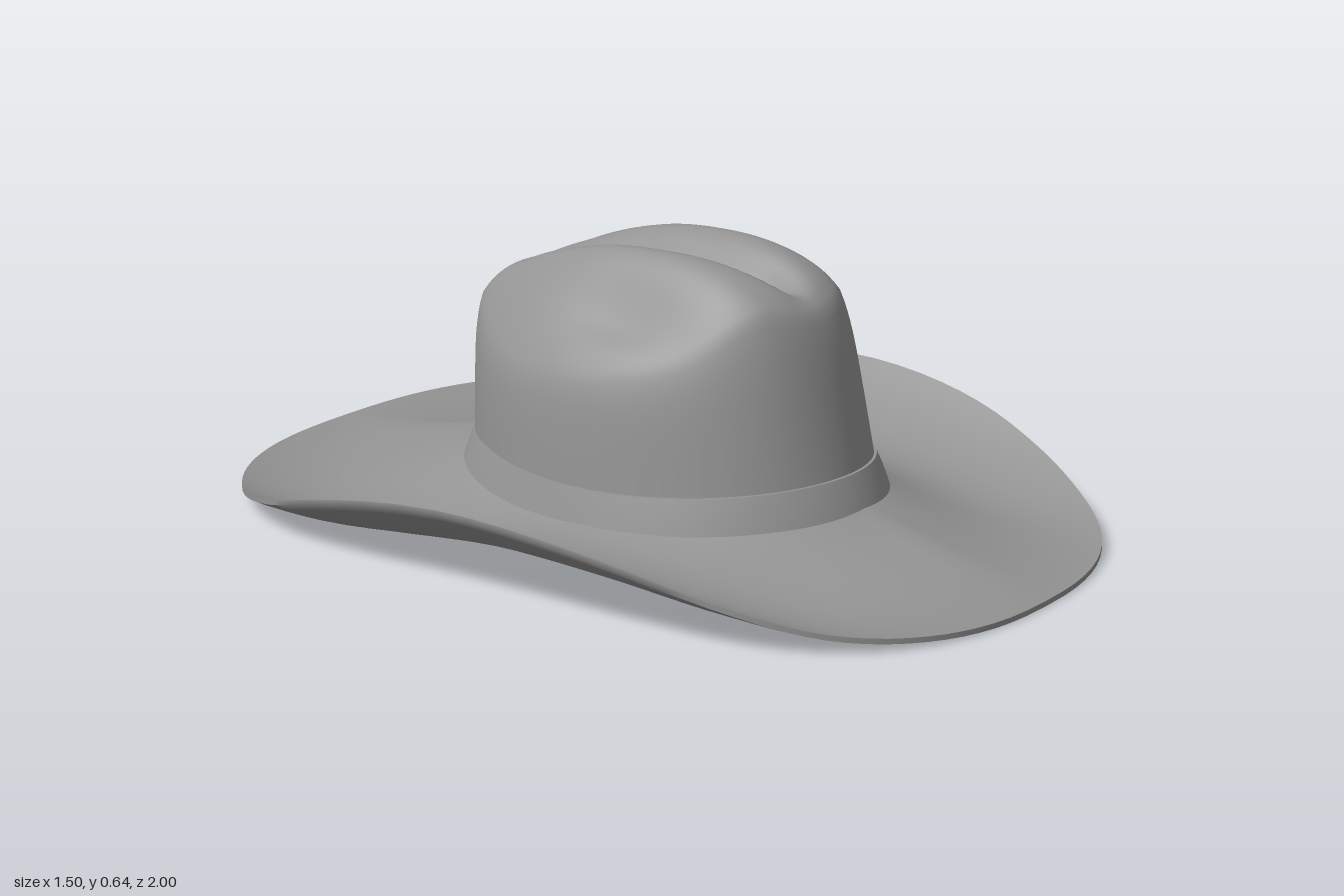
import * as THREE from 'three';
import { toCreasedNormals } from 'three/addons/utils/BufferGeometryUtils.js';

const COLS = 112;
const COLOR = 0x939393;
const { smoothstep, lerp } = THREE.MathUtils;
const gauss = (d, w) => Math.exp(-((d / w) ** 2));
const spow = (v, p) => Math.sign(v) * Math.abs(v) ** p;

// smooth one-dimensional curve through [position, value] pairs
function curve(pairs) {
  const c = new THREE.CubicInterpolant(pairs.map(p => p[0]), pairs.map(p => p[1]), 1, new Float32Array(1));
  return t => c.evaluate(t)[0];
}

// surface of closed rings: point(row, angle) gives [x, y, z], angle 0 is the front
function rings(rows, point) {
  const pos = [], idx = [];
  for (let i = 0; i < rows; i++)
    for (let j = 0; j < COLS; j++) pos.push(...point(i, (j / COLS) * Math.PI * 2));
  for (let i = 0; i < rows - 1; i++)
    for (let j = 0; j < COLS; j++) {
      const k = (j + 1) % COLS, a = i * COLS + j, b = i * COLS + k, c = b + COLS, d = a + COLS;
      idx.push(a, b, c, a, c, d);
    }
  const g = new THREE.BufferGeometry();
  g.setAttribute('position', new THREE.Float32BufferAttribute(pos, 3));
  g.setIndex(idx);
  g.computeVertexNormals();
  return g;
}

// height where crown and brim meet, slightly lower at the sides
const joinY = a => 0.125 - 0.027 * Math.sin(a) ** 2;

// crown top: ridge line from back to front, and fall-off towards the sides
const ridge = curve([[-0.47, 0.445], [-0.44, 0.495], [-0.3, 0.575], [-0.1, 0.637], [0.05, 0.65],
  [0.2, 0.637], [0.35, 0.592], [0.41, 0.555]]);
const flank = curve([[0, 0], [0.1, 0], [0.14, 0.008], [0.18, 0.037], [0.22, 0.08],
  [0.26, 0.13], [0.3, 0.18], [0.345, 0.235]]);

function topY(x, z) {
  const crease = smoothstep(z, -0.42, -0.08) * (1 - smoothstep(z, 0.24, 0.4));
  const width = 0.068 - 0.03 * smoothstep(z, 0, 0.38);
  const dent = 0.04 * gauss(Math.abs(x) - 0.235, 0.055) * gauss(z - 0.06, 0.18);
  return ridge(z) - flank(Math.abs(x)) - 0.085 * crease * gauss(x, width) - dent;
}

// crown: wall rings up to the rounded shoulder, then rings closing over the creased top
function crownGeometry() {
  const wall = 18, cap = 34;
  const top = { x: 0.334, z: 0.435, c: -0.03 };
  return rings(wall + cap + 1, (i, a) => {
    const s = Math.sin(a), c = Math.cos(a);
    if (i >= wall) {
      const r = 1 - (i - wall) / cap;
      const x = top.x * r * s, z = top.c + top.z * r * c;
      return [x, topY(x, z) - 0.025 * r ** 9, z];
    }
    const t = i / wall, round = 0.016 * (t - t ** 7);
    const x = (lerp(0.378, top.x, t) + round) * s;
    const z = lerp(0.014, top.c, t) + (lerp(0.497, top.z, t) + round) * c;
    const rim = topY(top.x * s, top.c + top.z * c) - 0.025;
    return [x, lerp(joinY(a), rim, t), z];
  });
}

// brim: thin solid, edge curled up at the sides
const edgeY = curve([[-1, 0.037], [-0.8, 0.045], [-0.6, 0.085], [-0.4, 0.14], [-0.2, 0.18], [0, 0.197],
  [0.2, 0.187], [0.4, 0.155], [0.6, 0.1], [0.8, 0.043], [1, 0.012]]);

function brimPoint(t, a, under) {
  const s = Math.sin(a), c = Math.cos(a);
  const ox = 0.748 * spow(s, 0.8), oz = -0.15 + (c > 0 ? 1.15 : 0.85) * spow(c, 0.8);
  const sag = 0.062 * Math.abs(s) ** 0.8 + (c < 0 ? 0.018 : 0.005) * c * c;
  const y = lerp(joinY(a), edgeY(oz), t) - sag * 4 * t * (1 - t);
  return [lerp(0.376 * s, ox, t), y - under * lerp(0.02, 0.012, t), lerp(0.014 + 0.495 * c, oz, t)];
}

function brimGeometry() {
  const n = 20;
  return rings(2 * n + 2, (i, a) =>
    i <= n ? brimPoint(i / n, a, 1) : brimPoint((2 * n + 1 - i) / n, a, 0));
}

// strip around the crown from a section of [half width, half depth, height above the join]
function stripGeometry(section) {
  return toCreasedNormals(rings(section.length, (i, a) => {
    const [rx, rz, h] = section[i];
    return [rx * Math.sin(a), joinY(a) + h, 0.014 + rz * Math.cos(a)];
  }), 0.7);
}

// point on the band surface at the left side
function onBand(z, h, lift) {
  const k = h / 0.064, rz = lerp(0.524, 0.49, k);
  const a = Math.acos((z - 0.014) / rz);
  return new THREE.Vector3((lerp(0.401, 0.378, k) + lift) * Math.sin(a), joinY(a) + h, z);
}

export function createModel() {
  const hat = new THREE.Group();
  hat.name = 'hat';
  const mat = new THREE.MeshStandardMaterial({ color: COLOR });
  const thin = new THREE.MeshStandardMaterial({ color: COLOR, side: THREE.DoubleSide });
  const add = (name, geometry, material = mat) => {
    const mesh = new THREE.Mesh(geometry, material);
    mesh.name = name;
    hat.add(mesh);
  };

  add('crown', crownGeometry(), thin);
  add('brim', toCreasedNormals(brimGeometry(), 1));
  add('hatBand', stripGeometry([[0.401, 0.524, -0.012], [0.389, 0.507, 0.03], [0.378, 0.49, 0.064],
    [0.362, 0.472, 0.064]]), thin);
  // inner band narrowing the head opening
  add('sweatBand', stripGeometry([[0.377, 0.496, -0.02], [0.345, 0.455, -0.018], [0.35, 0.46, 0.03],
    [0.374, 0.49, 0.036]]), thin);

  // buckle loop lying on the band, with a slim strap end behind it
  const loop = [[0.08, -0.01], [0.125, -0.01], [0.138, 0.03], [0.125, 0.074], [0.08, 0.074], [0.068, 0.03]]
    .map(([z, h]) => onBand(z, h, 0.009));
  add('buckle', new THREE.TubeGeometry(new THREE.CatmullRomCurve3(loop, true), 40, 0.008, 8, true));

  const strap = new THREE.BoxGeometry(0.012, 0.036, 0.16, 1, 1, 10);
  const p = strap.attributes.position;
  for (let i = 0; i < p.count; i++) {
    const v = onBand(p.getZ(i) + 0.05, p.getY(i) + 0.034, p.getX(i) + 0.002);
    p.setXYZ(i, v.x, v.y, v.z);
  }
  strap.computeVertexNormals();
  add('strapEnd', strap);

  return hat;
}
